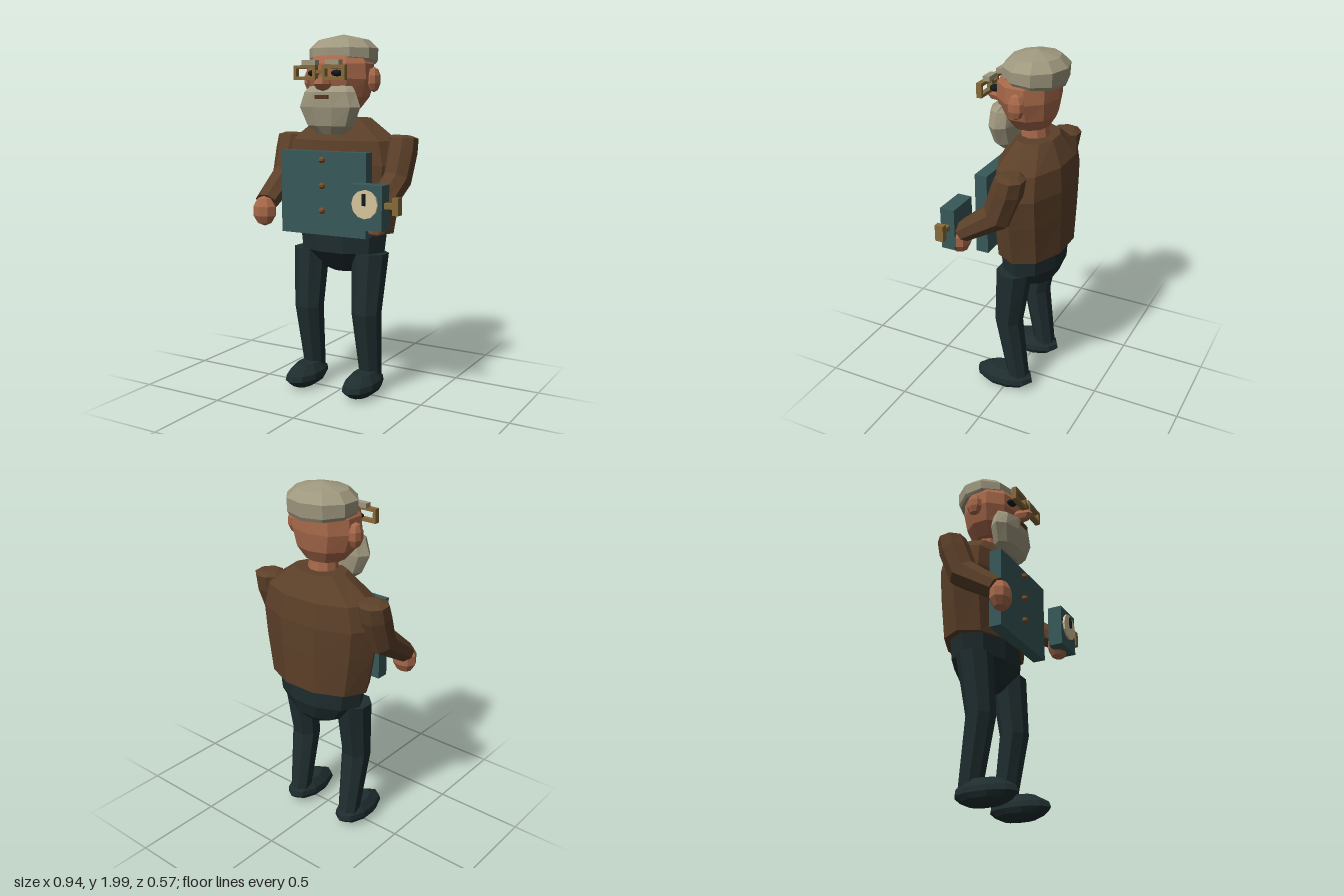
import * as THREE from 'three';

const paint = (name, color) => {
  const m = new THREE.MeshStandardMaterial({ color });
  m.name = name;
  return m;
};

export function createModel() {
  const mat = {
    jacket: paint('brown jacket', 0x5c4029),
    vest: paint('teal cloth', 0x385858),
    trousers: paint('dark trousers', 0x1f2d2f),
    skin: paint('skin', 0xa8694a),
    hair: paint('grey hair', 0x9f987f),
    brass: paint('brass', 0x876a38),
    button: paint('bronze button', 0x7a4f28),
    dial: paint('cream dial', 0xd6c49c),
    mouth: paint('mouth brown', 0x54371f),
    black: paint('near black', 0x12191a),
  };
  const model = new THREE.Group();
  const body = new THREE.Group(); // everything symmetric about the figure's own axis
  body.name = 'body';
  body.position.x = -0.035;
  model.add(body);

  const add = (name, geo, material, x = 0, y = 0, z = 0, parent = body) => {
    const flat = geo.index ? geo.toNonIndexed() : geo;
    flat.computeVertexNormals();
    const mesh = new THREE.Mesh(flat, material);
    mesh.name = name;
    mesh.position.set(x, y, z);
    parent.add(mesh);
    return mesh;
  };
  const box = (name, material, w, h, d, x, y, z, parent) =>
    add(name, new THREE.BoxGeometry(w, h, d), material, x, y, z, parent);
  const ball = (name, material, rx, ry, rz, x, y, z, seg = 8, rows = 5) =>
    add(name, new THREE.SphereGeometry(1, seg, rows).scale(rx, ry, rz), material, x, y, z);

  // Closed skin over elliptical rings, listed bottom to top: [x, y, z, rx, rz, tilt]
  const loft = (rings, sides = 10, phase = 0) => {
    const pos = [], idx = [];
    for (const [x, y, z, rx, rz, tilt = 0] of rings) {
      for (let i = 0; i < sides; i++) {
        const a = phase + (i / sides) * Math.PI * 2, s = rz * Math.sin(a);
        pos.push(x + rx * Math.cos(a), y + s * Math.sin(tilt), z + s * Math.cos(tilt));
      }
    }
    const last = (rings.length - 1) * sides, low = rings.length * sides;
    pos.push(...rings[0].slice(0, 3), ...rings[rings.length - 1].slice(0, 3));
    for (let i = 0; i < sides; i++) {
      const j = (i + 1) % sides;
      for (let r = 0; r < last; r += sides) {
        idx.push(r + i, r + sides + i, r + j, r + j, r + sides + i, r + sides + j);
      }
      idx.push(low, i, j, low + 1, last + j, last + i);
    }
    const g = new THREE.BufferGeometry();
    g.setAttribute('position', new THREE.Float32BufferAttribute(pos, 3));
    g.setIndex(idx);
    return g;
  };
  const front = Math.PI / 2; // phase that puts a corner on the centre line

  // Torso and hips
  add('jacket', loft([
    [0, 0.92, -0.1, 0.31, 0.19], [0, 1.14, -0.1, 0.35, 0.197], [0, 1.3, -0.1, 0.369, 0.2],
    [0, 1.43, -0.1, 0.333, 0.185], [0, 1.55, -0.1, 0.16, 0.11],
  ]), mat.jacket);
  add('hips', loft([
    [0, 0.685, -0.12, 0.09, 0.07], [0, 0.72, -0.11, 0.17, 0.11],
    [0, 0.81, -0.09, 0.26, 0.165], [0, 0.93, -0.09, 0.275, 0.17],
  ]), mat.trousers);
  box('vestPanel', mat.vest, 0.53, 0.455, 0.07, 0, 1.1475, 0.105);
  for (const y of [1.33, 1.19, 1.055]) ball('vestButton', mat.button, 0.018, 0.018, 0.022, 0, y, 0.145);

  // Limbs, mirrored
  for (const s of [-1, 1]) {
    add('leg', loft([
      [s * 0.185, 0.09, -0.075, 0.062, 0.062], [s * 0.187, 0.47, -0.017, 0.085, 0.078],
      [s * 0.19, 0.81, -0.055, 0.104, 0.1],
    ], 8, Math.PI / 8), mat.trousers);
    add('shoe', loft([
      [s * 0.185, 0.007, 0.015, 0.045, 0.09], [s * 0.185, 0.032, 0.015, 0.08, 0.145],
      [s * 0.185, 0.06, 0.015, 0.094, 0.178], [s * 0.185, 0.09, 0.012, 0.09, 0.17],
      [s * 0.185, 0.135, 0, 0.055, 0.1],
    ], 10, front), mat.trousers);
    add('arm', loft([
      [s * 0.352, 1.08, 0.165, 0.07, 0.058, 0.96], [s * 0.352, 1.22, -0.04, 0.082, 0.085, 0.65],
      [s * 0.355, 1.37, -0.095, 0.088, 0.085, 0.25], [s * 0.355, 1.445, -0.115, 0.085, 0.078, 0.1],
      [s * 0.345, 1.46, -0.115, 0.05, 0.045, 0.1],
    ], 8, Math.PI / 8), mat.jacket);
    ball('hand', mat.skin, 0.072, 0.085, 0.06, s * 0.352, 1.035, 0.185);
  }

  // Head
  add('neck', loft([[0, 1.5, -0.085, 0.085, 0.08], [0, 1.65, -0.075, 0.075, 0.072]]), mat.skin);
  add('head', loft([
    [0, 1.6, -0.06, 0.11, 0.1], [0, 1.665, -0.055, 0.165, 0.145], [0, 1.76, -0.05, 0.198, 0.165],
    [0, 1.84, -0.05, 0.192, 0.163], [0, 1.92, -0.06, 0.14, 0.12],
  ], 10, front), mat.skin);
  add('cap', loft([
    [0, 1.848, -0.085, 0.185, 0.16, 0.1], [0, 1.865, -0.085, 0.197, 0.17, 0.08],
    [0, 1.925, -0.087, 0.197, 0.172], [0, 1.972, -0.087, 0.145, 0.125], [0, 2, -0.087, 0.01, 0.01],
  ], 10, front), mat.hair);
  add('beard', loft([
    [0, 1.463, 0.05, 0.08, 0.045], [0, 1.51, 0.058, 0.145, 0.07], [0, 1.61, 0.065, 0.19, 0.083],
    [0, 1.69, 0.065, 0.16, 0.082], [0, 1.73, 0.045, 0.125, 0.04],
  ], 10), mat.hair);
  box('mouth', mat.mouth, 0.08, 0.02, 0.02, 0, 1.665, 0.142);
  ball('nose', mat.skin, 0.038, 0.038, 0.08, 0, 1.733, 0.128, 8, 4);

  // Ears, eyes, brows and spectacles, mirrored
  for (const s of [-1, 1]) {
    ball('ear', mat.skin, 0.035, 0.068, 0.047, s * 0.2, 1.757, -0.068);
    ball('eye', mat.black, 0.032, 0.018, 0.035, s * 0.072, 1.79, 0.11);
    box('eyebrow', mat.hair, 0.084, 0.026, 0.038, s * 0.072, 1.845, 0.144);
    const rim = new THREE.Shape([[-0.068, -0.039], [0.068, -0.039], [0.068, 0.039], [-0.068, 0.039]]
      .map(p => new THREE.Vector2(...p)));
    rim.holes.push(new THREE.Path([[-0.05, -0.021], [-0.05, 0.021], [0.05, 0.021], [0.05, -0.021]]
      .map(p => new THREE.Vector2(...p))));
    add('spectacleRim', new THREE.ExtrudeGeometry(rim, { depth: 0.03, bevelEnabled: false }),
      mat.brass, s * 0.089, 1.792, 0.149);
  }
  box('spectacleBridge', mat.brass, 0.05, 0.018, 0.022, 0, 1.795, 0.163);

  // Hand-held winding box
  const device = new THREE.Group();
  device.name = 'windingBox';
  model.add(device);
  box('deviceCase', mat.vest, 0.188, 0.235, 0.082, 0.294, 1.1075, 0.221, device);
  add('dialFace', new THREE.CylinderGeometry(0.075, 0.075, 0.012, 12).rotateX(Math.PI / 2),
    mat.dial, 0.293, 1.125, 0.268, device);
  box('dialPointer', mat.black, 0.018, 0.062, 0.009, 0.293, 1.15, 0.279, device);
  box('crankShaft', mat.brass, 0.07, 0.03, 0.032, 0.41, 1.12, 0.224, device);
  box('crankKnob', mat.brass, 0.032, 0.09, 0.048, 0.455, 1.12, 0.224, device);

  return model;
}
